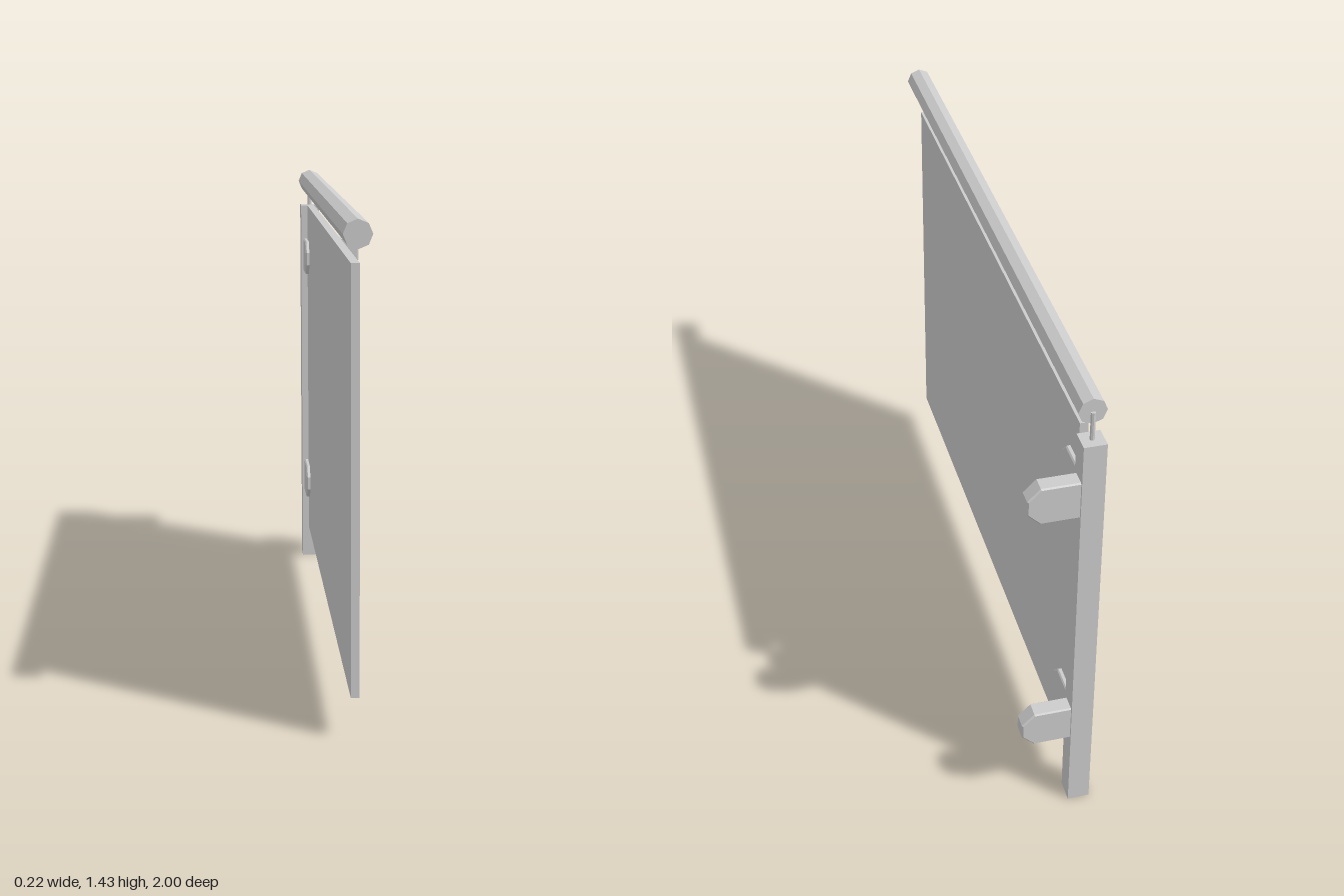
import * as THREE from 'three';

const material = new THREE.MeshStandardMaterial({ color: 0xcccccc, flatShading: true });
const AXIS_X = -0.069; // line of post, panel and rail
const POST_Z = -0.968;
const POST_W = 0.064;

function addMesh(parent, name, geometry, x, y, z) {
  const mesh = new THREE.Mesh(geometry, material);
  mesh.name = name;
  mesh.position.set(x, y, z);
  parent.add(mesh);
  return mesh;
}

// Flat clamp tongue with clipped corners, reaching along +x from the post face
function clampGeometry(length, height, thickness) {
  const b = 0.004, h = height / 2 - b, end = length - b, cut = 0.034;
  const shape = new THREE.Shape();
  shape.moveTo(-0.006, -h);
  shape.lineTo(end - cut, -h);
  shape.lineTo(end, -h + cut);
  shape.lineTo(end, h - cut);
  shape.lineTo(end - cut, h);
  shape.lineTo(-0.006, h);
  shape.closePath();
  const depth = thickness - 2 * b;
  const geometry = new THREE.ExtrudeGeometry(shape, {
    depth, bevelEnabled: true, bevelSize: b, bevelThickness: b, bevelSegments: 1,
  });
  return geometry.translate(0, 0, -depth / 2);
}

export function createModel() {
  const model = new THREE.Group();
  model.name = 'railingSection';

  // Upright post and the thin pin carrying the rail
  addMesh(model, 'post', new THREE.BoxGeometry(POST_W, 1.305, POST_W), AXIS_X, 0.6525, POST_Z);
  addMesh(model, 'railPin', new THREE.CylinderGeometry(0.007, 0.007, 0.09, 8), AXIS_X, 1.345, POST_Z);

  // Infill panel
  addMesh(model, 'panel', new THREE.BoxGeometry(0.024, 1.187, 1.825), AXIS_X, 0.7145, 0.0125);

  // Octagonal handrail
  const railGeometry = new THREE.CylinderGeometry(0.039, 0.039, 1.966, 8).rotateX(Math.PI / 2);
  addMesh(model, 'handrail', railGeometry, AXIS_X, 1.391, 0.017);

  // Two levels of clamps: one gripping the panel, one reaching sideways
  const clamp = clampGeometry(0.144, 0.117, 0.05);
  for (const y of [0.309, 1.127]) {
    const level = new THREE.Group();
    level.name = y < 1 ? 'lowerClamps' : 'upperClamps';
    addMesh(level, 'sideClamp', clamp, AXIS_X + POST_W / 2, y, POST_Z);
    addMesh(level, 'panelClamp', clamp, AXIS_X, y, POST_Z + POST_W / 2).rotation.y = -Math.PI / 2;
    model.add(level);
  }
  return model;
}
